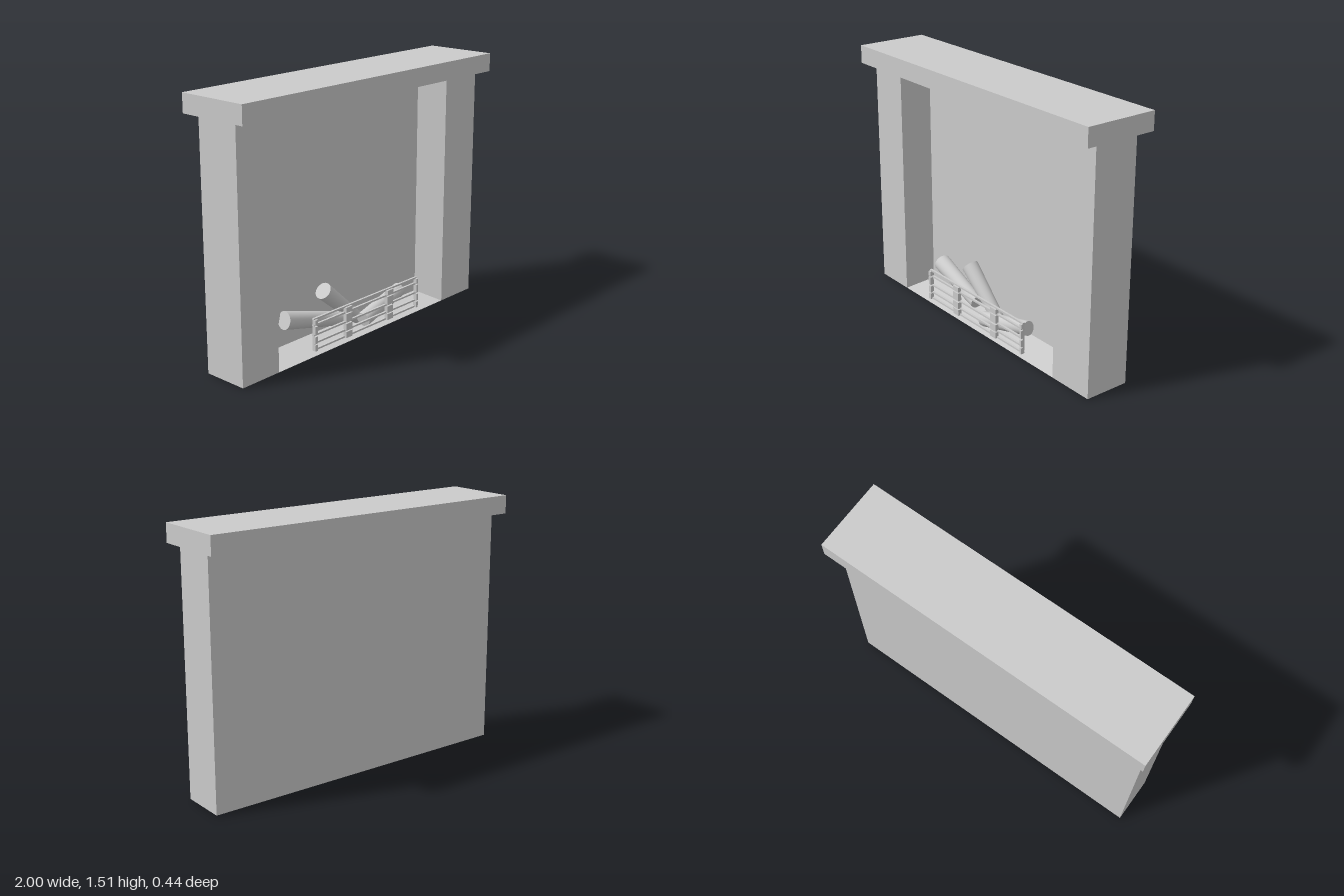
import * as THREE from 'three';

const material = new THREE.MeshStandardMaterial({ color: 0xcccccc });
const BOTTOM = 0.01, TOP = 1.41, FRONT = 0.135, BACK = -0.135, RECESS = -0.05;

function add(parent, name, geometry, x = 0, y = 0, z = 0) {
  const mesh = new THREE.Mesh(geometry, material);
  mesh.name = name;
  mesh.position.set(x, y, z);
  parent.add(mesh);
  return mesh;
}

// Box given by its limits on each axis
function slab(parent, name, [x0, x1], [y0, y1], [z0, z1]) {
  return add(parent, name, new THREE.BoxGeometry(x1 - x0, y1 - y0, z1 - z0),
    (x0 + x1) / 2, (y0 + y1) / 2, (z0 + z1) / 2);
}

function prism(points, depth) {
  const shape = new THREE.Shape(points.map(([x, y]) => new THREE.Vector2(x, y)));
  return new THREE.ExtrudeGeometry(shape, { depth, bevelEnabled: false });
}

// Upright pillar whose inner face splays inwards towards the back; plan is [x, z]
function jamb(parent, name, plan) {
  const geometry = prism(plan.map(([x, z]) => [x, -z]), TOP - BOTTOM);
  geometry.rotateX(-Math.PI / 2);
  add(parent, name, geometry, 0, BOTTOM, 0);
}

// Sloping wedge across the opening; profile is [z, y]
function wedge(parent, name, profile) {
  const geometry = prism(profile.map(([z, y]) => [-z, y]), 1.4);
  geometry.rotateY(Math.PI / 2);
  add(parent, name, geometry, -0.71, 0, 0);
}

// Tapered log between two end centres
function log(parent, name, from, to, r0, r1) {
  const a = new THREE.Vector3(...from), b = new THREE.Vector3(...to);
  const dir = b.clone().sub(a);
  const mesh = add(parent, name, new THREE.CylinderGeometry(r1, r0, dir.length(), 32));
  mesh.position.copy(a).add(b).multiplyScalar(0.5);
  mesh.quaternion.setFromUnitVectors(new THREE.Vector3(0, 1, 0), dir.normalize());
}

export function createModel() {
  const model = new THREE.Group();
  model.name = 'fireplace';

  // Surround with a splayed recess
  const surround = new THREE.Group();
  surround.name = 'surround';
  model.add(surround);
  jamb(surround, 'rightJamb',
    [[-0.97, BACK], [-0.97, FRONT], [-0.71, FRONT], [-0.68, RECESS], [-0.68, BACK]]);
  jamb(surround, 'leftJamb',
    [[0.97, BACK], [0.97, FRONT], [0.69, FRONT], [0.655, RECESS], [0.655, BACK]]);
  slab(surround, 'backWall', [-0.68, 0.655], [BOTTOM, TOP], [BACK, RECESS]);
  wedge(surround, 'hearth', [[FRONT, BOTTOM], [RECESS, 0.04], [RECESS, BOTTOM]]);
  wedge(surround, 'lintel', [[FRONT, TOP], [RECESS, 1.385], [RECESS, TOP]]);

  // Mantel shelf
  slab(model, 'mantelShelf', [-1, 1], [TOP, 1.517], [-0.218, 0.218]);

  // Grate: four thin rails held by two broad and two narrow uprights
  const grate = new THREE.Group();
  grate.name = 'grate';
  model.add(grate);
  for (const y of [0.051, 0.09, 0.137, 0.195, 0.23]) {
    slab(grate, 'rail', [-0.445, 0.44], [y - 0.005, y + 0.005], [0.125, 0.138]);
  }
  const uprights = [[-0.445, -0.425], [-0.195, -0.145], [0.16, 0.21], [0.425, 0.44]];
  const segments = [[0.046, 0.083], [0.09, 0.131], [0.141, 0.19], [0.198, 0.228]];
  for (const x of uprights) {
    slab(grate, 'upright', x, [0.046, 0.235], [0.127, 0.137]);
    for (const y of segments) slab(grate, 'uprightFace', x, y, [0.135, 0.15]);
  }

  // Stacked logs
  const logs = new THREE.Group();
  logs.name = 'logs';
  model.add(logs);
  log(logs, 'log', [-0.525, 0.21, -0.01], [-0.12, 0.11, 0.03], 0.052, 0.04);
  log(logs, 'log', [-0.225, 0.3, 0], [0.08, 0.035, 0.005], 0.05, 0.036);
  log(logs, 'log', [0.02, 0.075, 0.085], [0.38, 0.15, 0.05], 0.044, 0.042);
  return model;
}
